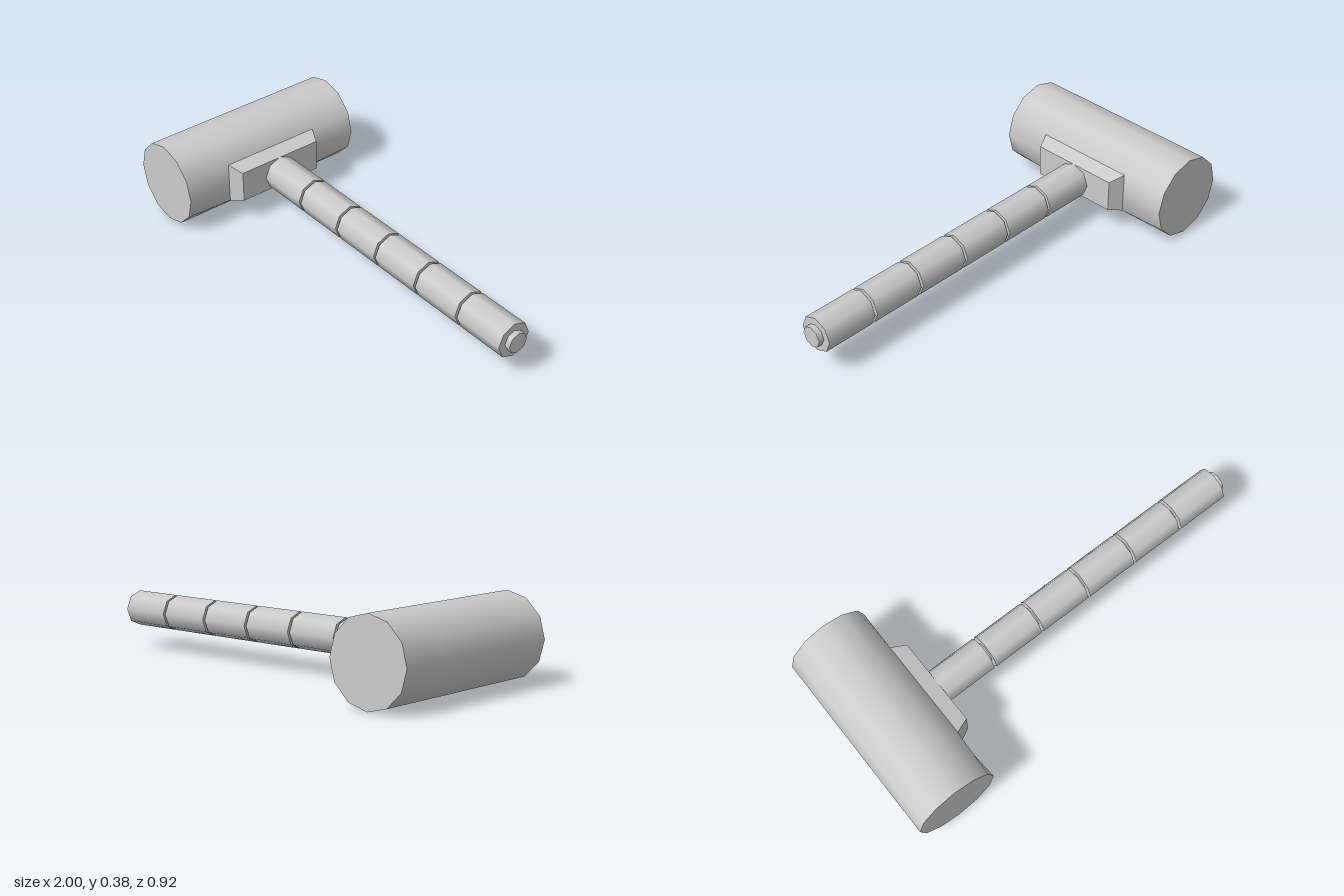
import * as THREE from 'three';
import { toCreasedNormals } from 'three/addons/utils/BufferGeometryUtils.js';

const HEAD = { x: -0.81, y: 0.1925, r: 0.1925, length: 0.917 };
const MOUNT = { x: -0.633, halfY: 0.096, halfZ: 0.238, depth: 0.068 };
const GRIP_Y = 0.186;

const grey = () => new THREE.MeshStandardMaterial({ color: 0xcccccc });

function addMesh(group, name, geometry, x, y, z = 0) {
  const mesh = new THREE.Mesh(geometry, grey());
  mesh.name = name;
  mesh.position.set(x, y, z);
  group.add(mesh);
  return mesh;
}

// Twelve-sided head, flattened in the middle where the mounting block joins
function headGeometry() {
  const geo = new THREE.CylinderGeometry(HEAD.r, HEAD.r, HEAD.length, 12, 3);
  geo.rotateX(Math.PI / 2);
  const p = geo.attributes.position;
  for (let i = 0; i < p.count; i++) {
    if (Math.abs(p.getZ(i)) > 0.3) continue;
    p.setZ(i, Math.sign(p.getZ(i)) * MOUNT.halfZ);
    if (p.getX(i) > HEAD.r * 0.8) p.setX(i, MOUNT.x - HEAD.x);
  }
  return toCreasedNormals(geo, 0.9);
}

// Block tapering from the head towards the handle
function mountGeometry() {
  const geo = new THREE.BoxGeometry(MOUNT.depth, MOUNT.halfY * 2, MOUNT.halfZ * 2);
  const p = geo.attributes.position;
  for (let i = 0; i < p.count; i++) {
    if (p.getX(i) < 0) continue;
    p.setY(i, Math.sign(p.getY(i)) * 0.074);
    p.setZ(i, Math.sign(p.getZ(i)) * 0.209);
  }
  return toCreasedNormals(geo, 0.2);
}

// Eight-sided rod lying along x
function rodGeometry(radius, length) {
  return new THREE.CylinderGeometry(radius, radius, length, 8).rotateZ(Math.PI / 2);
}

export function createModel() {
  const model = new THREE.Group();
  model.name = 'mallet';

  addMesh(model, 'head', headGeometry(), HEAD.x, HEAD.y);
  addMesh(model, 'mountingBlock', mountGeometry(), MOUNT.x + MOUNT.depth / 2, HEAD.y);

  // Handle: a thin core showing in the gaps between six grip segments
  const handle = new THREE.Group();
  handle.name = 'handle';
  model.add(handle);
  const coreStart = -0.58;
  addMesh(handle, 'handleCore', rodGeometry(0.048, 1 - coreStart), (1 + coreStart) / 2, GRIP_Y);

  const pitch = 0.259, segment = 0.247, start = -0.567;
  for (let i = 0; i < 6; i++) {
    addMesh(handle, `gripSegment${i + 1}`, rodGeometry(0.082, segment),
      start + i * pitch + segment / 2, GRIP_Y);
  }
  return model;
}
